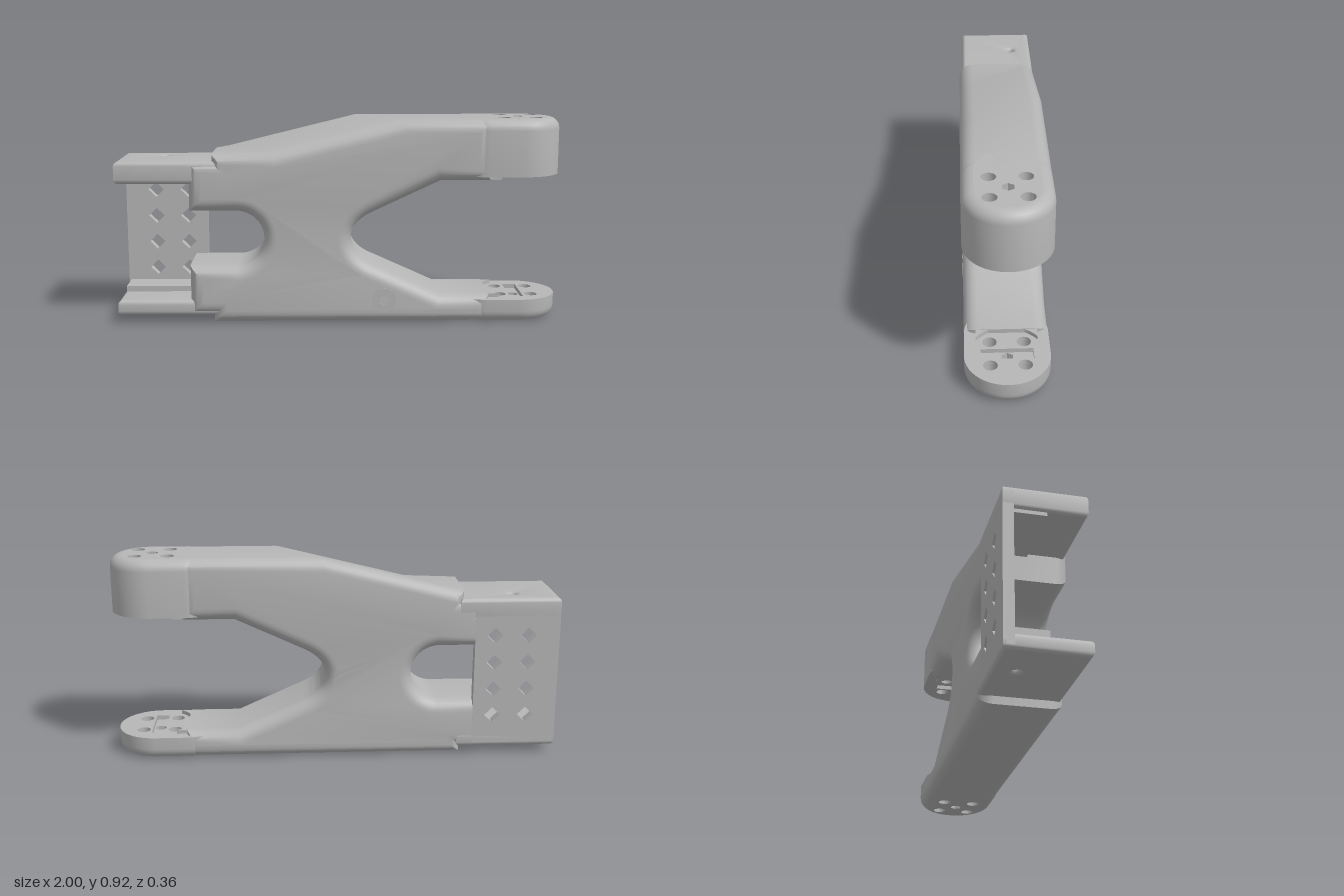
import * as THREE from 'three';
import { toCreasedNormals } from 'three/addons/utils/BufferGeometryUtils.js';

const grey = new THREE.MeshStandardMaterial({ color: 0xb6b6b6 });
grey.name = 'grey';

function part(name, geometry, parent) {
  const mesh = new THREE.Mesh(toCreasedNormals(geometry, 0.6), grey);
  mesh.name = name;
  parent.add(mesh);
  return mesh;
}

function circleHole(shape, x, y, r, sides = 20) {
  const pts = [];
  for (let i = 0; i < sides; i++) {
    const a = (i / sides) * Math.PI * 2;
    pts.push(new THREE.Vector2(x + r * Math.cos(a), y + r * Math.sin(a)));
  }
  shape.holes.push(new THREE.Path(pts));
}

function rect(x0, y0, x1, y1) {
  return new THREE.Shape([[x0, y0], [x1, y0], [x1, y1], [x0, y1]].map((p) => new THREE.Vector2(...p)));
}

// Extrudes a plan shape (x, -z) upward from y0 to y1, with optional rounded edges
function slab(shape, y0, y1, r = 0) {
  const geo = new THREE.ExtrudeGeometry(shape, {
    depth: y1 - y0 - 2 * r, bevelEnabled: r > 0, bevelThickness: r, bevelSize: r,
    bevelOffset: -r, bevelSegments: 4, curveSegments: 24,
  });
  geo.rotateX(-Math.PI / 2);
  geo.translate(0, y0 + r, 0);
  return geo;
}

// Side profile with a rear slot and a front fork, rounded along all edges
function bodyGeometry() {
  const s = new THREE.Shape();
  s.moveTo(-0.57, 0);
  s.lineTo(0.68, 0);
  s.lineTo(0.68, 0.125);
  s.lineTo(0.45, 0.125);
  s.lineTo(0.14, 0.265);
  s.quadraticCurveTo(0.05, 0.31, 0.05, 0.385);
  s.quadraticCurveTo(0.05, 0.455, 0.14, 0.5);
  s.lineTo(0.45, 0.645);
  s.lineTo(0.68, 0.645);
  s.lineTo(0.68, 0.92);
  s.lineTo(0.17, 0.92);
  s.lineTo(-0.42, 0.775);
  s.lineTo(-0.57, 0.765);
  s.lineTo(-0.57, 0.735);
  s.lineTo(-0.675, 0.735);
  s.lineTo(-0.675, 0.51);
  s.lineTo(-0.465, 0.51);
  s.absarc(-0.465, 0.385, 0.125, Math.PI / 2, -Math.PI / 2, true);
  s.lineTo(-0.675, 0.26);
  s.lineTo(-0.675, 0.035);
  s.lineTo(-0.57, 0.035);
  const r = 0.06;
  const geo = new THREE.ExtrudeGeometry(s, {
    depth: 0.36 - 2 * r, bevelThickness: r, bevelSize: r, bevelOffset: -r,
    bevelSegments: 6, curveSegments: 16,
  });
  geo.translate(0, 0, -0.18 + r);
  // Skew the creases on the sloping top
  const p = geo.attributes.position;
  for (let i = 0; i < p.count; i++) {
    const x = p.getX(i);
    if (p.getY(i) > 0.68 && x > -0.49 && x < 0.3) p.setX(i, x + p.getZ(i) * 0.7);
  }
  return geo;
}

// Round-ended motor pad: inner face at y = 0, outer face at y = h
function motorPad(name, h) {
  const pad = new THREE.Group();
  pad.name = name;
  const R = 0.18, r = 0.05, back = 0.14;
  const profile = [new THREE.Vector2(R - r, 0), new THREE.Vector2(R, 0)];
  for (let i = 0; i <= 6; i++) {
    const a = (i / 6) * Math.PI / 2;
    profile.push(new THREE.Vector2(R - r + r * Math.cos(a), h - r + r * Math.sin(a)));
  }
  const rim = new THREE.LatheGeometry(profile, 64);
  const p = rim.attributes.position;
  for (let i = 0; i < p.count; i++) if (p.getX(i) < -0.001) p.setX(i, p.getX(i) - back);
  part('padRim', rim, pad);

  const core = () => {
    const s = new THREE.Shape();
    s.absarc(0, 0, R - r, -Math.PI / 2, Math.PI / 2);
    s.absarc(-back, 0, R - r, Math.PI / 2, Math.PI * 1.5);
    for (const x of [-0.082, 0.062]) for (const z of [-0.072, 0.072]) circleHole(s, x, z, 0.03);
    return s;
  };
  // Inner layer has the cable slot, outer layer the centre hole
  const inner = core();
  inner.holes.push(new THREE.Path(rect(-0.038, -0.11, 0.022, 0.11).getPoints()));
  part('slottedFace', slab(inner, 0, 0.02), pad);
  const outer = core();
  circleHole(outer, -0.008, 0, 0.027, 6);
  part('padCore', slab(outer, 0.02, h), pad);

  // Shallow step curving around the motor seat
  const t = Math.asin(0.13 / 0.16);
  const step = new THREE.Shape();
  step.moveTo(-0.24, -0.13);
  step.lineTo(-0.16 * Math.cos(t), -0.13);
  step.absarc(0, 0, 0.16, Math.PI + t, Math.PI - t, true);
  step.lineTo(-0.24, 0.13);
  part('seatStep', slab(step, -0.018, 0.001), pad);
  return pad;
}

export function createModel() {
  const model = new THREE.Group();
  model.name = 'forkedArm';
  part('armBody', bodyGeometry(), model);

  // Motor pads at the fork tips
  const upper = motorPad('upperMotorPad', 0.255);
  upper.position.set(0.82, 0.665, 0);
  const lower = motorPad('lowerMotorPad', 0.105);
  lower.position.set(0.82, 0.105, 0);
  lower.rotation.x = Math.PI;
  model.add(upper, lower);

  // Mounting clamp: two plates with a screw hole
  for (const [name, y0, y1] of [['topPlate', 0.635, 0.735], ['bottomPlate', 0.035, 0.105]]) {
    const s = rect(-1, -0.165, -0.55, 0.18);
    circleHole(s, -0.8, 0.08, 0.016);
    part(name, slab(s, y0, y1, 0.02), model);
  }
  part('lowerRidge', slab(rect(-0.99, 0, -0.66, 0.17), 0.09, 0.13), model);
  part('upperRidge', slab(rect(-0.99, 0, -0.66, 0.17), 0.622, 0.65), model);

  // Back plate with diamond holes
  const plate = rect(-1, 0.055, -0.62, 0.715);
  for (const x of [-0.86, -0.71]) {
    for (let i = 0; i < 4; i++) circleHole(plate, x, 0.19 + i * 0.125, 0.036, 4);
  }
  const plateGeo = new THREE.ExtrudeGeometry(plate, { depth: 0.045, bevelEnabled: false });
  plateGeo.translate(0, 0, -0.18);
  part('backPlate', plateGeo, model);

  // Cable port on the lower front edge
  const port = new THREE.Shape();
  port.absarc(0, 0, 0.055, 0, Math.PI * 2);
  circleHole(port, 0, 0, 0.02);
  const portGeo = new THREE.ExtrudeGeometry(port, { depth: 0.03, bevelEnabled: false, curveSegments: 20 });
  portGeo.translate(0.2, 0.105, 0.152);
  part('cablePort', portGeo, model);
  return model;
}
